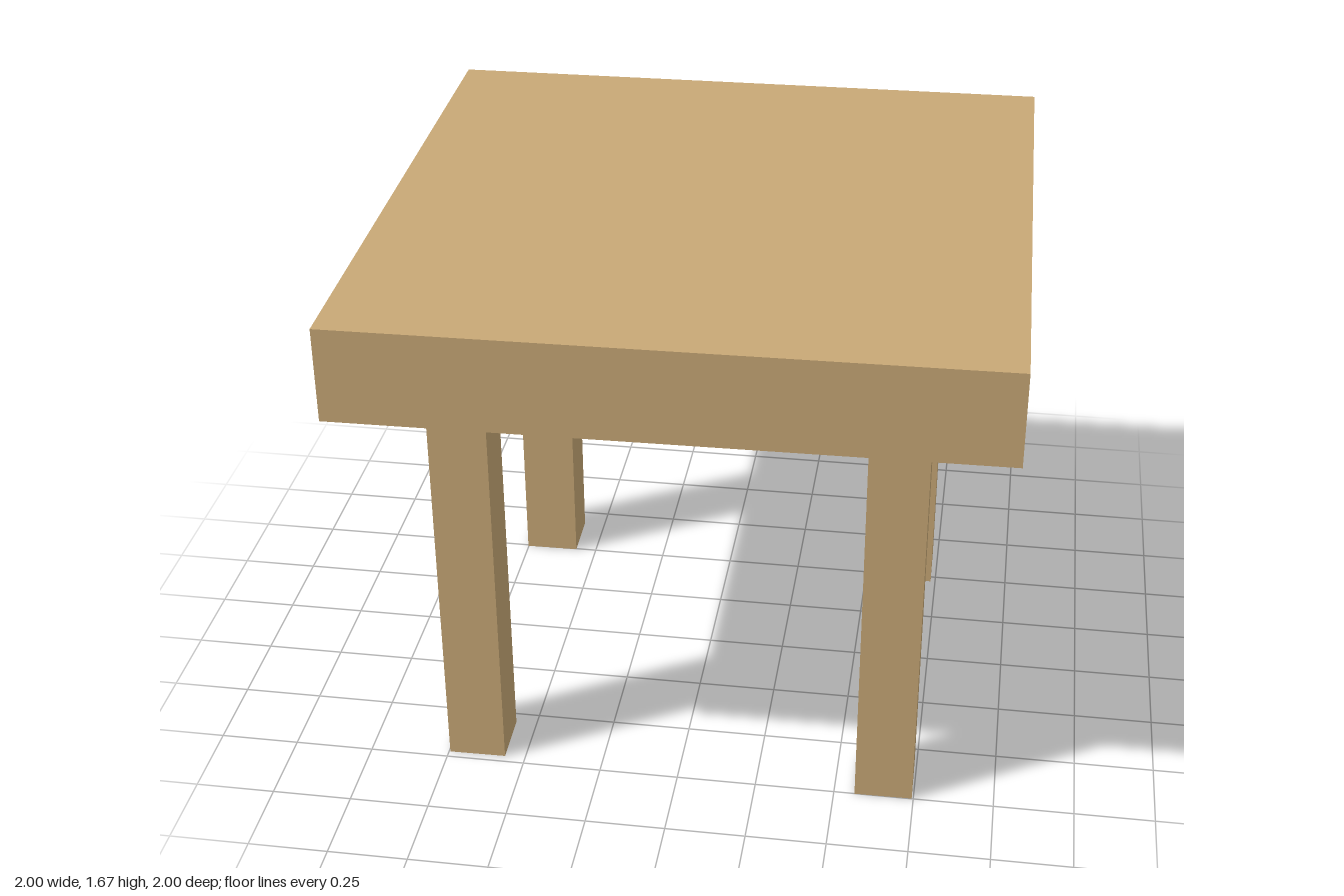
import * as THREE from 'three';

export function createModel() {
  const table = new THREE.Group();
  table.name = 'table';
  const wood = new THREE.MeshStandardMaterial({ color: 0xc8a876 });
  const twist = 0.0125; // slight hand-made skew shared by all parts

  const addBlock = (name, width, bottom, top, x, z) => {
    const mesh = new THREE.Mesh(new THREE.BoxGeometry(width, top - bottom, width), wood);
    mesh.name = name;
    mesh.position.set(x, (bottom + top) / 2, z);
    mesh.rotation.y = twist;
    table.add(mesh);
  };

  // Thick square slab
  addBlock('tableTop', 1.975, 1.373, 1.667, 0, 0);

  // Four square posts, slightly unevenly placed
  const legs = {
    frontLeftLeg: [0.654, 0.66],
    backLeftLeg: [0.643, -0.56],
    frontRightLeg: [-0.657, 0.634],
    backRightLeg: [-0.663, -0.585],
  };
  for (const [name, [x, z]] of Object.entries(legs)) addBlock(name, 0.18, 0, 1.373, x, z);

  return table;
}
